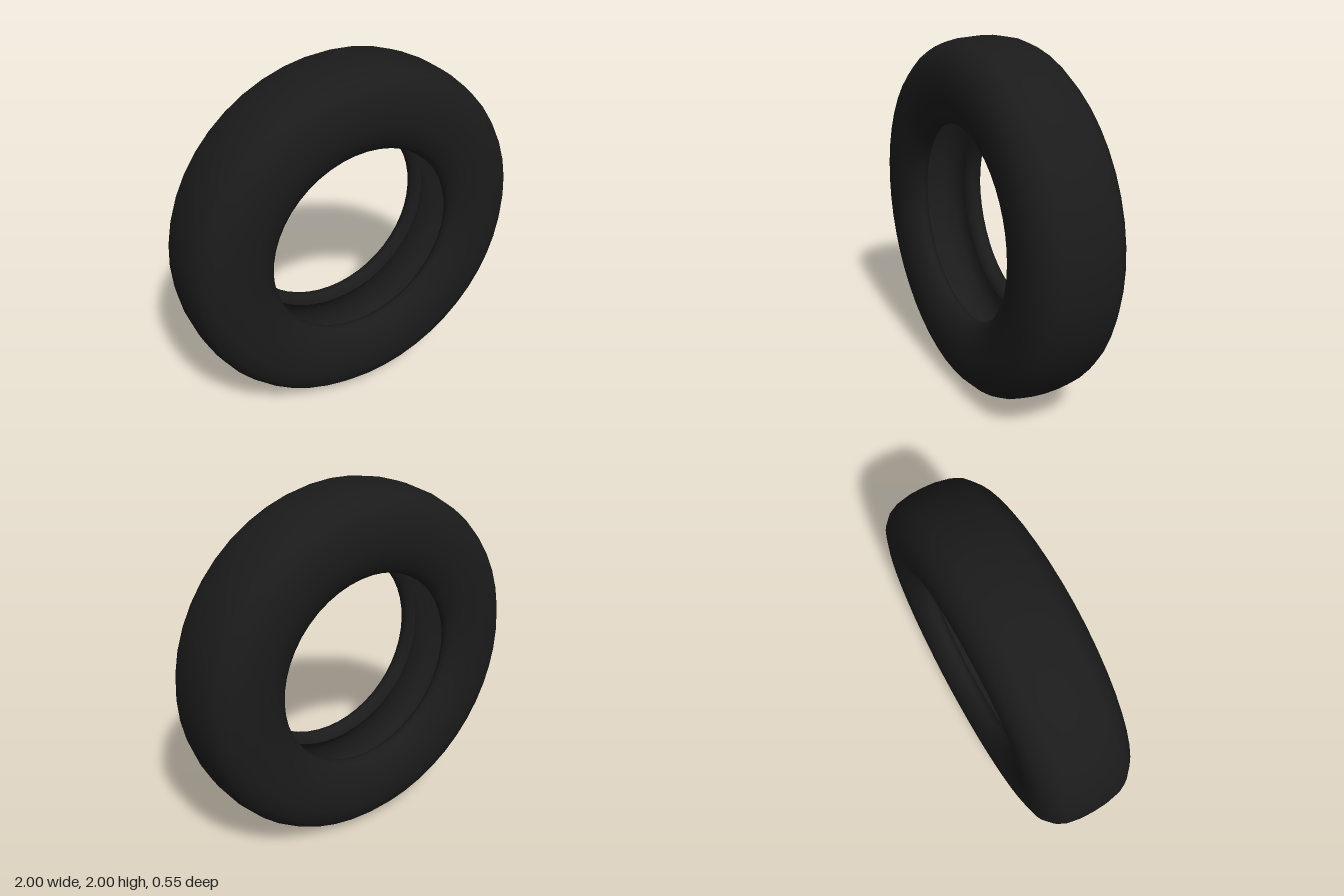
import * as THREE from 'three';

const SEGMENTS = 48;

// Half sections as [radius, z]
// Outside, from the inner bead to the tread centre
const OUTER_HALF = [
  [0.605, 0.13], [0.575, 0.137], [0.556, 0.157], [0.55, 0.18], [0.56, 0.205],
  [0.59, 0.23], [0.64, 0.255], [0.7, 0.27], [0.77, 0.275], [0.84, 0.268],
  [0.91, 0.248], [0.96, 0.2], [0.982, 0.155], [0.997, 0.075], [1.0, 0],
];
// Hollow inside, from the bead to the underside of the tread
const INNER_HALF = [
  [0.605, 0.13], [0.64, 0.17], [0.7, 0.205], [0.77, 0.215], [0.84, 0.205],
  [0.89, 0.175], [0.92, 0.12], [0.93, 0],
];

// Mirror a half section to the other side, running from back to front
function mirrored(half) {
  return [...half.map(([r, z]) => [r, -z]), ...half.slice(0, -1).reverse()];
}

// Spin a section around the wheel axis (z), resting on the ground
function ring(name, section, material) {
  const points = section.map(([r, z]) => new THREE.Vector2(r, z));
  const geometry = new THREE.LatheGeometry(points, SEGMENTS);
  geometry.rotateX(Math.PI / 2);
  geometry.translate(0, 1, 0);
  const mesh = new THREE.Mesh(geometry, material);
  mesh.name = name;
  return mesh;
}

export function createModel() {
  const rubber = new THREE.MeshStandardMaterial({ color: 0x1b1b1b });
  rubber.name = 'black rubber';

  const group = new THREE.Group();
  group.name = 'tyre';

  // Beads, sidewalls and tread
  group.add(ring('tyreCarcass', mirrored(OUTER_HALF), rubber));

  // Hollow lining, run front to back so that it faces the axle
  group.add(ring('innerLining', mirrored(INNER_HALF).reverse(), rubber));

  return group;
}
